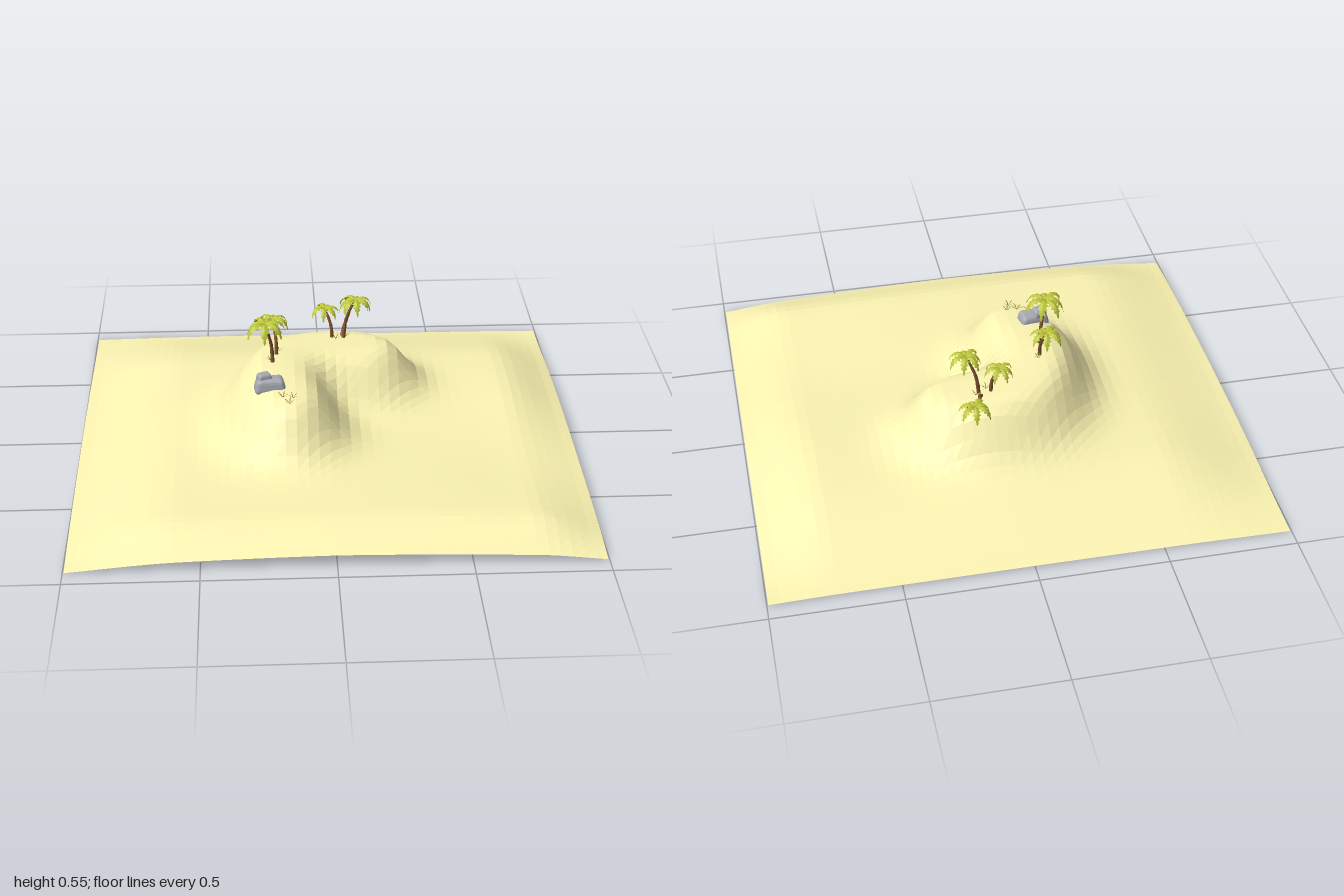
import * as THREE from 'three';
import { mergeGeometries } from 'three/addons/utils/BufferGeometryUtils.js';
import { RoundedBoxGeometry } from 'three/addons/geometries/RoundedBoxGeometry.js';

const V = (x, y, z) => new THREE.Vector3(x, y, z);
const { smoothstep } = THREE.MathUtils;
const material = (color, extra = {}) => new THREE.MeshStandardMaterial({ color, ...extra });
const sand = material(0xfcf4b2, { flatShading: true, side: THREE.DoubleSide });
const bark = material(0x7d5530);
const leaf = material(0xbcc53a, { flatShading: true, side: THREE.DoubleSide });
const dryLeaf = material(0x8b8034, { flatShading: true, side: THREE.DoubleSide });
const stone = material(0xa6a9b2, { flatShading: true });

function add(parent, name, geometry, mat) {
  const mesh = new THREE.Mesh(geometry, mat);
  mesh.name = name;
  parent.add(mesh);
  return mesh;
}

// Crest of the hooked hill; y holds the height of the plateau
const crest = new THREE.CatmullRomCurve3([
  V(-0.15, 0.335, 0.235), V(-0.195, 0.357, 0.02), V(-0.13, 0.345, -0.18), V(0.03, 0.338, -0.235), V(0.2, 0.328, -0.225),
]).getPoints(48);

// Soft bump used to model the dunes
const bump = (x, z, cx, cz, r) => Math.exp(-((x - cx) ** 2 + (z - cz) ** 2) / (r * r));

// Height of the sand: low rolling dune, falling to its edges, with the hill on top
function heightAt(x, z) {
  const u = Math.min(1, Math.abs(x) / 0.99), w = Math.min(1, Math.abs(z) / 0.93);
  const ex = smoothstep(1 - u, -0.08, x > 0 ? 0.26 : 0.42);
  const ez = smoothstep(1 - w, -0.08, z > 0 ? 0.22 : 0.5);
  const rim = 0.006 + 0.036 * (1 - u * u * w * w) * (z < 0 ? 1 - 0.95 * w * w : 1) * (1 - 0.25 * u);
  const dune = 0.11 + 0.022 * bump(x, z, 0.75, -0.25, 0.32) - 0.03 * bump(x, z, 0.8, 0.38, 0.35);
  const ground = rim + (dune - rim) * ex * ez;

  // Blended distance to the crest, which rounds out the inside of the bend
  let sum = 0, top = 0;
  for (const p of crest) {
    const f = Math.exp(-Math.hypot(x - p.x, z - p.z) / 0.03);
    sum += f;
    top += f * p.y;
  }
  const d = Math.max(0, -0.03 * Math.log(sum / 11));
  const hill = 1 / (1 + (d / 0.2) ** 5);
  return ground + (top / sum - ground) * hill;
}

function terrain() {
  const geo = new THREE.PlaneGeometry(1.99, 1.86, 46, 44).rotateX(-Math.PI / 2);
  const p = geo.attributes.position;
  for (let i = 0; i < p.count; i++) p.setY(i, heightAt(p.getX(i), p.getZ(i)));
  geo.computeVertexNormals();
  return geo;
}

// Tapered trunk swept along a curve
function trunkGeometry(curve, r0, r1) {
  const rings = 10, sides = 7;
  const geo = new THREE.TubeGeometry(curve, rings, 1, sides, false);
  const p = geo.attributes.position, v = V();
  for (let i = 0; i <= rings; i++) {
    const c = curve.getPointAt(i / rings);
    const r = (r0 + (r1 - r0) * i / rings) * (i % 2 ? 1.1 : 0.95);
    for (let j = 0; j <= sides; j++) {
      const k = i * (sides + 1) + j;
      v.fromBufferAttribute(p, k).sub(c).multiplyScalar(r).add(c);
      p.setXYZ(k, v.x, v.y, v.z);
    }
  }
  geo.computeVertexNormals();
  return geo;
}

// Drooping frond: a folded ribbon with a saw-tooth outline, growing along +x
function frondGeometry(length, width, rise, droop) {
  const n = 12, pos = [], idx = [];
  for (let i = 0; i <= n; i++) {
    const t = i / n;
    const x = length * Math.sin(t * 1.35) / Math.sin(1.35);
    const y = length * (rise * t - droop * t * t);
    const w = width * Math.sin(Math.PI * (0.1 + 0.9 * t)) * (i % 2 ? 1.15 : 0.6);
    pos.push(x, y - w * 0.45, w, x, y, 0, x, y - w * 0.45, -w);
    if (i < n) {
      const a = i * 3;
      idx.push(a, a + 3, a + 1, a + 1, a + 3, a + 4, a + 1, a + 4, a + 2, a + 2, a + 4, a + 5);
    }
  }
  const geo = new THREE.BufferGeometry();
  geo.setAttribute('position', new THREE.Float32BufferAttribute(pos, 3));
  geo.setIndex(idx);
  geo.computeVertexNormals();
  return geo;
}

function palm(name, path, size, turn) {
  const group = new THREE.Group();
  group.name = name;
  const curve = new THREE.CatmullRomCurve3(path);
  add(group, 'trunk', trunkGeometry(curve, 0.0085, 0.0045), bark);
  const fronds = [];
  for (let i = 0; i < 7; i++) {
    const long = size * (i % 2 ? 0.85 : 1);
    fronds.push(frondGeometry(long, size * 0.23, 0.9, i % 2 ? 1.75 : 1.45).rotateY(turn + i * Math.PI * 2 / 7));
  }
  const end = path[path.length - 1];
  add(group, 'fronds', mergeGeometries(fronds), leaf).position.copy(end);
  // Nuts under the crown
  for (let i = 0; i < 3; i++) {
    const a = turn + i * 2.1;
    add(group, 'nut', new THREE.IcosahedronGeometry(0.006, 1), bark)
      .position.set(end.x + 0.008 * Math.cos(a), end.y - 0.008, end.z + 0.008 * Math.sin(a));
  }
  return group;
}

// Small tuft of arching blades
function tuft(x, z, size, turn) {
  const blades = [];
  for (let i = 0; i < 5; i++) {
    blades.push(frondGeometry(size, size * 0.1, 1.5, 0.7).rotateY(turn + i * 1.257));
  }
  const mesh = new THREE.Mesh(mergeGeometries(blades), dryLeaf);
  mesh.name = 'grassTuft';
  mesh.position.set(x, heightAt(x, z), z);
  return mesh;
}

// Rounded boulder, pinched towards the top
function boulder(w, h, d) {
  const geo = new RoundedBoxGeometry(w, h, d, 2, h * 0.3);
  const p = geo.attributes.position;
  for (let i = 0; i < p.count; i++) {
    const x = p.getX(i), y = p.getY(i), z = p.getZ(i), s = 1 - 0.2 * (y / h + 0.5);
    p.setXYZ(i, x * s, y + 0.05 * z, z * s * (1 + 1.5 * x));
  }
  geo.computeVertexNormals();
  return geo;
}

export function createModel() {
  const model = new THREE.Group();
  model.name = 'sandIsland';
  add(model, 'sandTerrain', terrain(), sand);

  model.add(
    palm('tallPalm', [V(-0.215, 0.33, -0.02), V(-0.22, 0.43, -0.02), V(-0.245, 0.54, 0.01)], 0.085, 0.2),
    palm('middlePalm', [V(-0.2, 0.33, -0.09), V(-0.2, 0.41, -0.105), V(-0.215, 0.488, -0.14)], 0.07, 0.5),
    palm('smallPalm', [V(0.035, 0.31, -0.265), V(0.03, 0.39, -0.27), V(0.005, 0.46, -0.29)], 0.062, 0.1),
    palm('backPalm', [V(0.08, 0.31, -0.265), V(0.095, 0.42, -0.27), V(0.13, 0.51, -0.255)], 0.07, 0.35),
    palm('leaningPalm', [V(0.07, 0.31, -0.27), V(0.085, 0.355, -0.31), V(0.105, 0.37, -0.38), V(0.13, 0.412, -0.445)], 0.068, 0.6),
  );

  // Rock: wide slab with a smaller block on its left end
  const rock = new THREE.Group();
  rock.name = 'rock';
  add(rock, 'rockSlab', boulder(0.13, 0.06, 0.08), stone);
  const block = add(rock, 'rockBlock', boulder(0.06, 0.035, 0.05), stone);
  block.position.set(-0.022, 0.032, -0.005);
  block.rotation.y = 0.25;
  rock.position.set(-0.23, 0.348, 0.157);
  rock.rotation.y = 0.12;
  model.add(rock);

  [[-0.18, 0.245, 0.022], [-0.14, 0.25, 0.02], [-0.155, 0.285, 0.022], [-0.225, -0.035, 0.018],
    [-0.19, -0.115, 0.018], [0.05, -0.25, 0.02], [0.095, -0.28, 0.02]]
    .forEach(([x, z, s], i) => model.add(tuft(x, z, s, i * 0.7)));

  return model;
}
